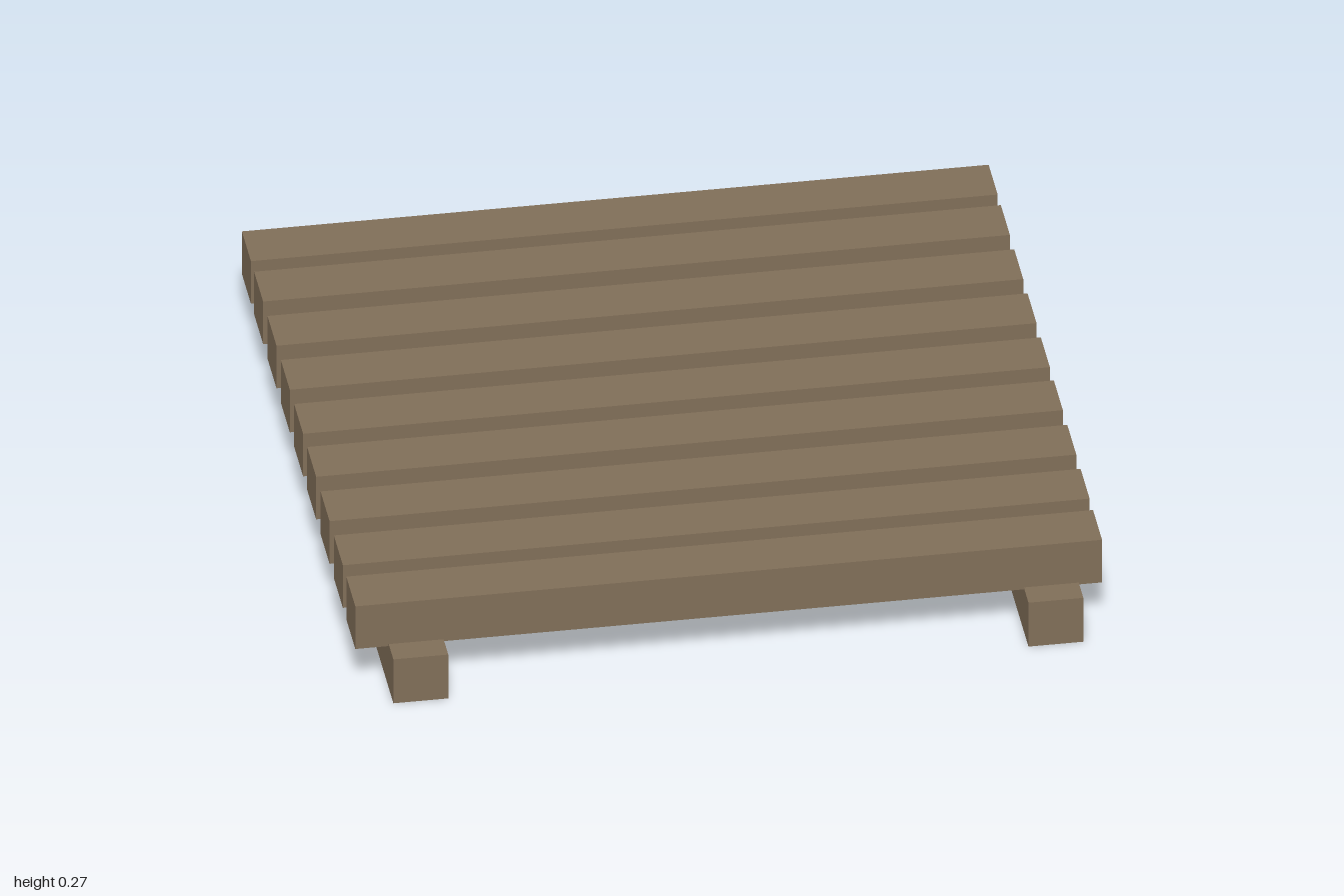
import * as THREE from 'three';

export function createModel() {
  const model = new THREE.Group();
  model.name = 'slattedPallet';

  const wood = new THREE.MeshStandardMaterial({ color: 0x806e58 });
  wood.name = 'weathered wood';

  function beam(name, size, position) {
    const mesh = new THREE.Mesh(new THREE.BoxGeometry(...size), wood);
    mesh.name = name;
    mesh.position.set(...position);
    model.add(mesh);
  }

  // Two rails running front to back on the ground
  beam('rightRail', [0.147, 0.138, 2], [-0.837, 0.069, 0]);
  beam('leftRail', [0.147, 0.138, 2], [0.864, 0.069, 0]);

  // Nine cross slats, slightly let into the rails
  const slatZ = [-0.851, -0.652, -0.434, -0.217, 0, 0.212, 0.431, 0.648, 0.851];
  slatZ.forEach((z, i) => beam(`slat${i + 1}`, [2, 0.134, 0.147], [0, 0.199, z]));

  return model;
}
